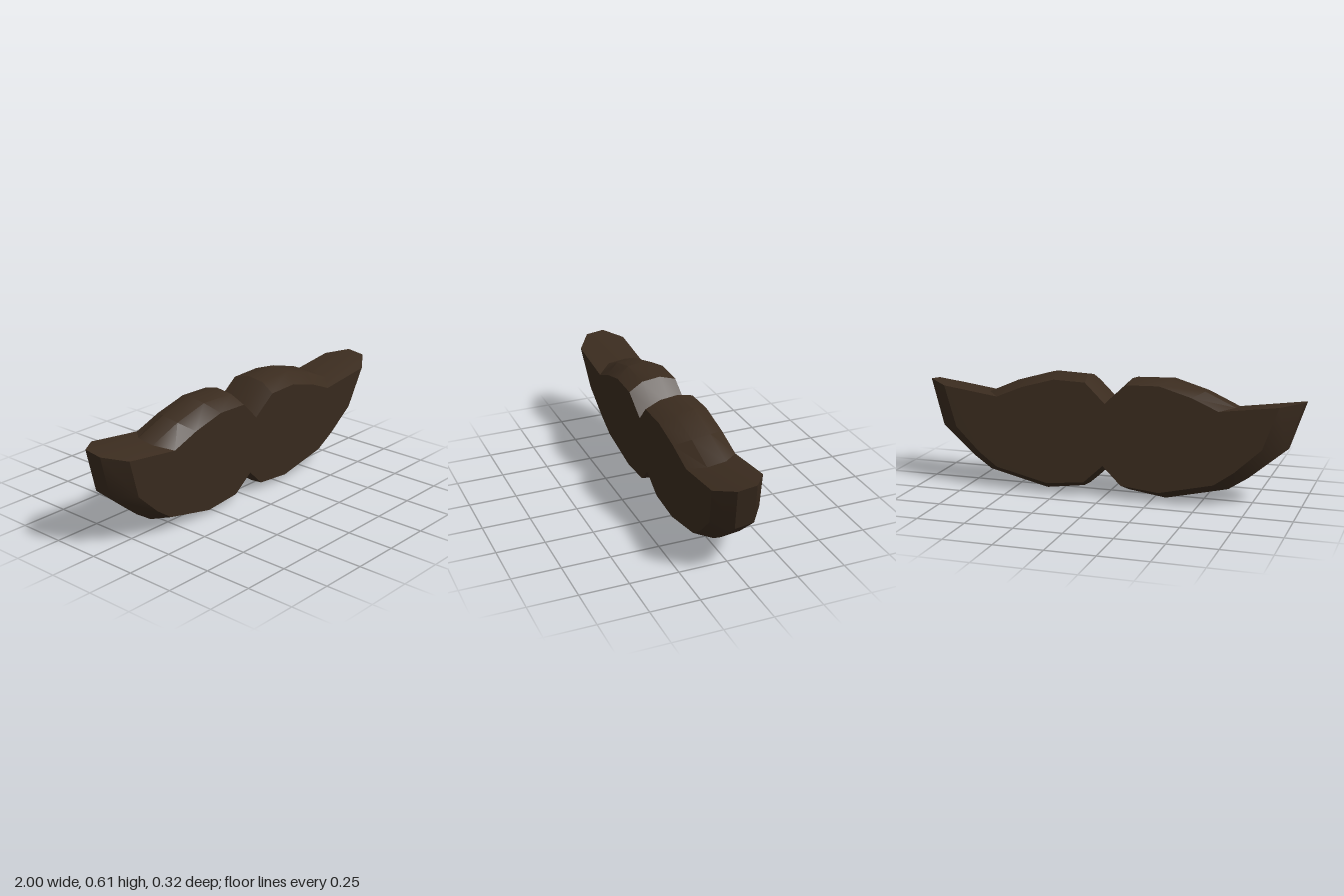
import * as THREE from 'three';
import { toCreasedNormals } from 'three/addons/utils/BufferGeometryUtils.js';

// Half outlines, from the top notch round the tip to the bottom notch
const FULL = [
  [0, 0.18], [0.12, 0.297], [0.32, 0.304], [0.5, 0.252], [0.66, 0.181], [1, 0.228],
  [0.92, -0.015], [0.74, -0.165], [0.64, -0.23], [0.32, -0.302], [0.12, -0.275], [0, -0.165],
];
const INSET = [
  [0, 0.163], [0.11, 0.265], [0.28, 0.27], [0.45, 0.222], [0.59, 0.163], [0.89, 0.203],
  [0.815, -0.01], [0.68, -0.135], [0.58, -0.205], [0.3, -0.268], [0.1, -0.248], [0, -0.155],
];

// Mirrors a half outline into a closed counter-clockwise ring
function ring(half) {
  const left = half.slice(1, -1).reverse().map(([x, y]) => [-x, y]);
  return [...half, ...left].reverse();
}

// Skins stacked outlines (back to front) and closes both ends
function loft(layers) {
  const n = layers[0].points.length;
  const last = (layers.length - 1) * n;
  const positions = layers.flatMap(({ points, z }) => points.flatMap(([x, y]) => [x, y, z]));
  const index = [];
  for (let k = 0; k < layers.length - 1; k++) {
    for (let i = 0; i < n; i++) {
      const a = k * n + i, b = k * n + (i + 1) % n;
      index.push(a, b, b + n, a, b + n, a + n);
    }
  }
  const outline = layers[0].points.map(([x, y]) => new THREE.Vector2(x, y));
  for (const [a, b, c] of THREE.ShapeUtils.triangulateShape(outline, [])) {
    index.push(c, b, a, last + a, last + b, last + c);
  }
  const geometry = new THREE.BufferGeometry();
  geometry.setAttribute('position', new THREE.Float32BufferAttribute(positions, 3));
  geometry.setIndex(index);
  return toCreasedNormals(geometry, 0.52);
}

export function createModel() {
  const group = new THREE.Group();
  group.name = 'moustache';

  // Slab of hair with bevelled front and back rims
  const geometry = loft([
    { points: ring(INSET), z: -0.1285 },
    { points: ring(FULL), z: -0.049 },
    { points: ring(FULL), z: 0.049 },
    { points: ring(INSET), z: 0.1285 },
  ]);
  const hair = new THREE.Mesh(geometry, new THREE.MeshStandardMaterial({ color: 0x3b2c1f }));
  hair.name = 'moustacheHair';

  // Leans slightly forward at the top
  hair.rotation.x = 0.121;
  hair.position.y = 0.309;
  group.add(hair);
  return group;
}
